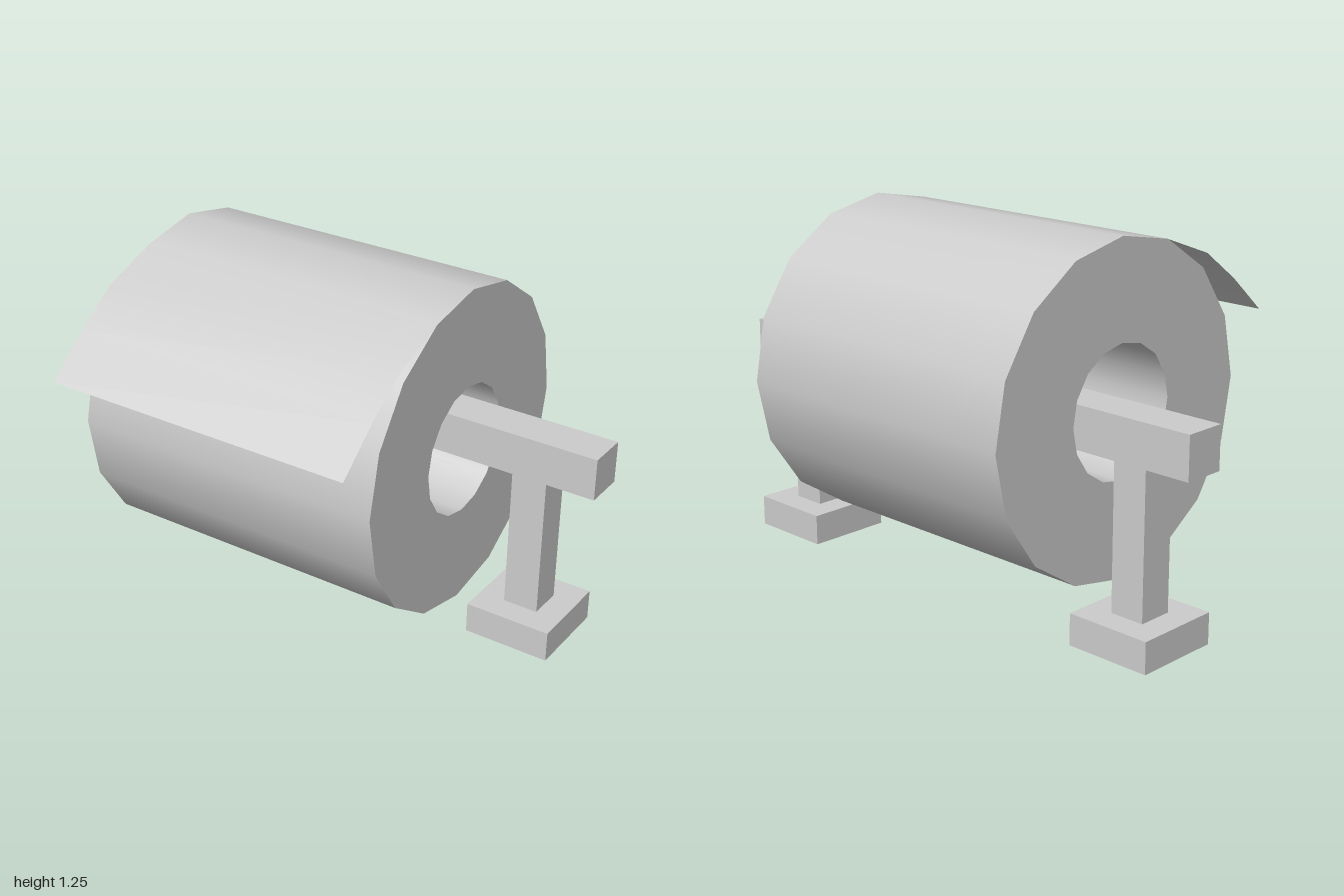
import * as THREE from 'three';

export function createModel() {
  const model = new THREE.Group();
  const grey = new THREE.MeshStandardMaterial({ color: 0xcccccc, side: THREE.DoubleSide });
  grey.name = 'grey';

  const add = (name, geometry, x, y, z) => {
    const mesh = new THREE.Mesh(geometry, grey);
    mesh.name = name;
    mesh.position.set(x, y, z);
    model.add(mesh);
    return mesh;
  };

  // Hollow 16-sided roll; doubled profile points keep the rims sharp
  const outer = 0.565, inner = 0.227, half = 0.563;
  const corners = [[inner, -half], [outer, -half], [outer, half], [inner, half], [inner, -half]];
  const profile = corners.flatMap(([r, h], i) => {
    const count = i === 0 || i === 4 ? 1 : 2;
    return Array.from({ length: count }, () => new THREE.Vector2(r, h));
  });
  // Nudge the closing point so the two ends of the profile keep separate normals
  profile[profile.length - 1].y += 0.0001;
  const roll = new THREE.LatheGeometry(profile, 16);
  roll.rotateZ(-Math.PI / 2);
  roll.rotateX(-0.013);
  add('paperRoll', roll, -0.002, 0.684, -0.073);

  // Loose sheet lifting off the top of the roll towards the front
  const curl = [[1.208, 0.137], [1.134, 0.34], [1.026, 0.49], [0.897, 0.638]];
  const sheet = new THREE.PlaneGeometry(half * 2, 1, 1, curl.length - 1);
  const pos = sheet.attributes.position;
  for (let i = 0; i < pos.count; i++) {
    const [y, z] = curl[Math.floor(i / 2)];
    pos.setXYZ(i, pos.getX(i), y, z);
  }
  sheet.computeVertexNormals();
  add('looseSheet', sheet, -0.002, 0, 0);

  // Square bar running through the core
  add('holderBar', new THREE.BoxGeometry(2, 0.146, 0.146), 0, 0.683, -0.21);

  // A post and foot at each end
  for (const [side, x] of [['left', 0.763], ['right', -0.768]]) {
    add(side + 'Post', new THREE.BoxGeometry(0.124, 0.51, 0.124), x, 0.36, -0.209);
    add(side + 'Foot', new THREE.BoxGeometry(0.305, 0.108, 0.307), x, 0.054, -0.209);
  }

  return model;
}
